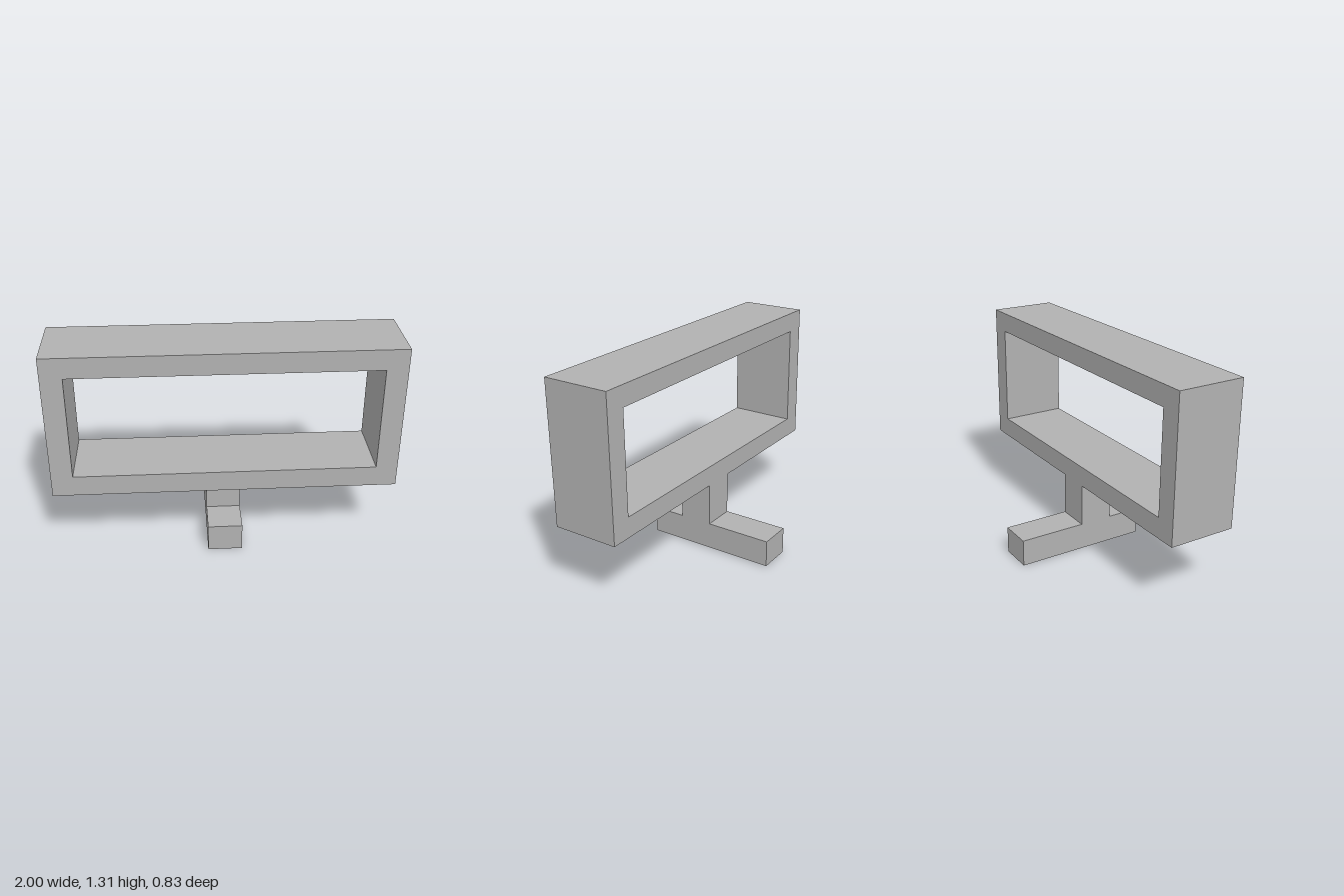
import * as THREE from 'three';

export function createModel() {
  const model = new THREE.Group();
  const grey = new THREE.MeshStandardMaterial({ color: 0xb2b2b2 });
  grey.name = 'grey';

  // Extrude a flat outline and name the part
  const extrude = (name, shape, depth) => {
    const geometry = new THREE.ExtrudeGeometry(shape, { depth, bevelEnabled: false });
    const mesh = new THREE.Mesh(geometry, grey);
    mesh.name = name;
    model.add(mesh);
    return mesh;
  };
  const outline = (points) => points.map(([x, y]) => new THREE.Vector2(x, y));
  const rectangle = (x0, y0, x1, y1) => outline([[x0, y0], [x1, y0], [x1, y1], [x0, y1]]);

  // Open rectangular frame
  const frameShape = new THREE.Shape(rectangle(-1, 0.432, 1, 1.306));
  frameShape.holes.push(new THREE.Path(rectangle(-0.875, 0.557, 0.875, 1.183)));
  extrude('frame', frameShape, 0.415);

  // Inverted T stand: side outline (z, y) extruded across the width
  const standShape = new THREE.Shape(outline([
    [-0.415, 0], [0.415, 0], [0.415, 0.168], [0.208, 0.168],
    [0.208, 0.432], [0, 0.432], [0, 0.168], [-0.415, 0.168],
  ]));
  const stand = extrude('stand', standShape, 0.205);
  stand.rotation.y = -Math.PI / 2;
  stand.position.x = 0.1;

  return model;
}
